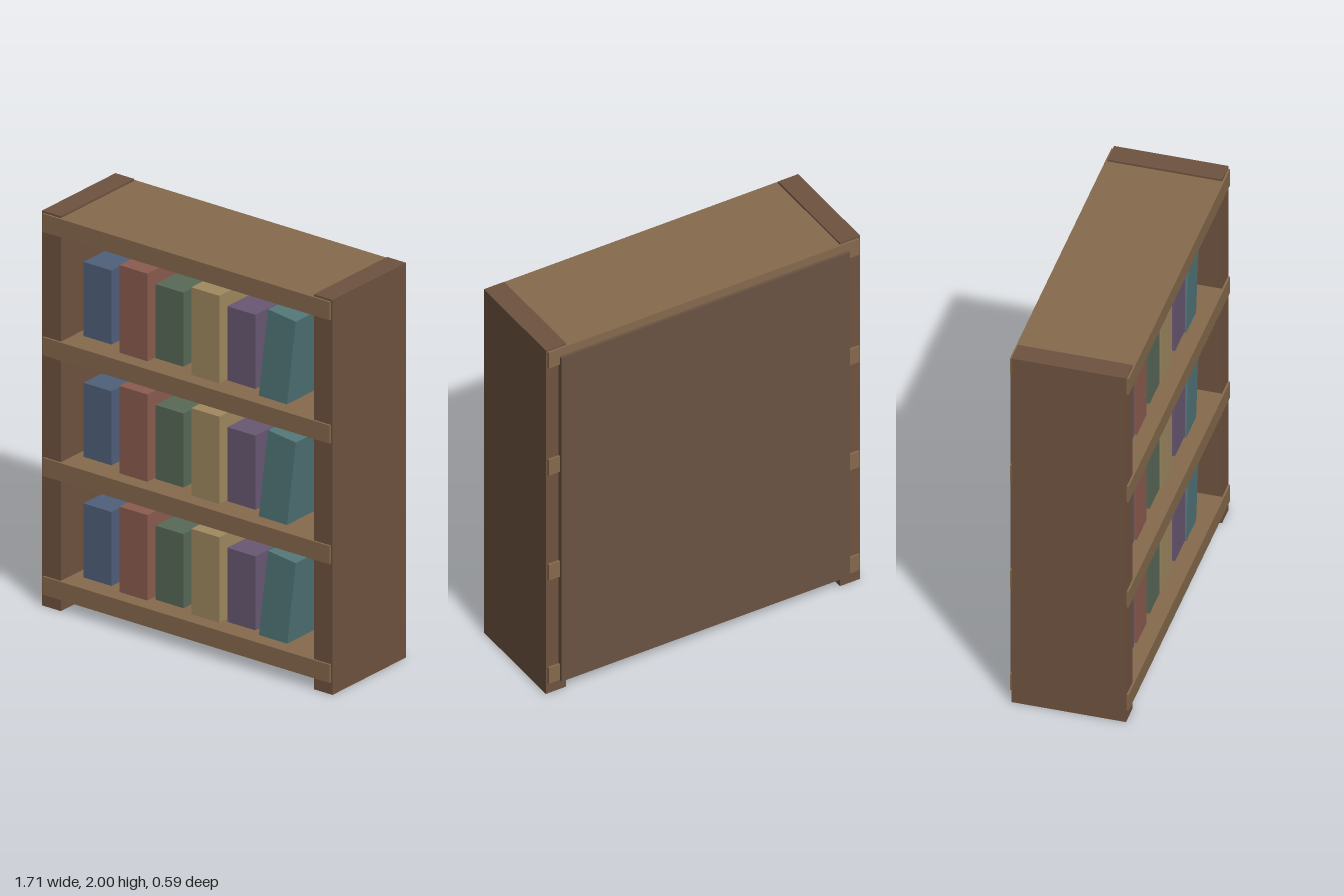
import * as THREE from 'three';

export function createModel() {
  const group = new THREE.Group();
  group.name = 'bookcase';

  const material = (color) => new THREE.MeshStandardMaterial({ color });
  const sideWood = material(0x6f5340);
  const shelfWood = material(0x866a4d);
  const backWood = material(0x695343);

  // Box given by its lower and upper limits on each axis
  function board(name, mat, [x0, x1], [y0, y1], [z0, z1]) {
    const mesh = new THREE.Mesh(new THREE.BoxGeometry(x1 - x0, y1 - y0, z1 - z0), mat);
    mesh.position.set((x0 + x1) / 2, (y0 + y1) / 2, (z0 + z1) / 2);
    mesh.name = name;
    group.add(mesh);
    return mesh;
  }

  // Upright side panels
  board('leftSide', sideWood, [0.745, 0.855], [0, 2], [-0.27, 0.285]);
  board('rightSide', sideWood, [-0.855, -0.745], [0, 2], [-0.27, 0.285]);

  // Shelves run through the sides and stand slightly proud
  [0.107, 0.708, 1.319, 1.944].forEach((y, i) => {
    board(`shelf${i + 1}`, shelfWood, [-0.845, 0.845], [y - 0.046, y + 0.046], [-0.28, 0.295]);
  });

  // Back panel
  board('backPanel', backWood, [-0.785, 0.785], [0.06, 1.945], [-0.295, -0.26]);

  // Three rows of books, alternately short and tall, the last one leaning
  const bookColors = [0x50607c, 0x8c5c50, 0x586a58, 0xa08a60, 0x6a5873, 0x527678].map(material);
  [0.358, 0.969, 1.581].forEach((y, row) => {
    bookColors.forEach((mat, i) => {
      const x = -0.58 + i * 0.2118;
      const half = i % 2 ? 0.2275 : 0.1875;
      const book = board(`book${row + 1}_${i + 1}`, mat, [x - 0.0825, x + 0.0825], [y - half, y + half], [-0.18, 0.22]);
      if (i === bookColors.length - 1) book.rotation.z = -0.12;
    });
  });

  return group;
}
